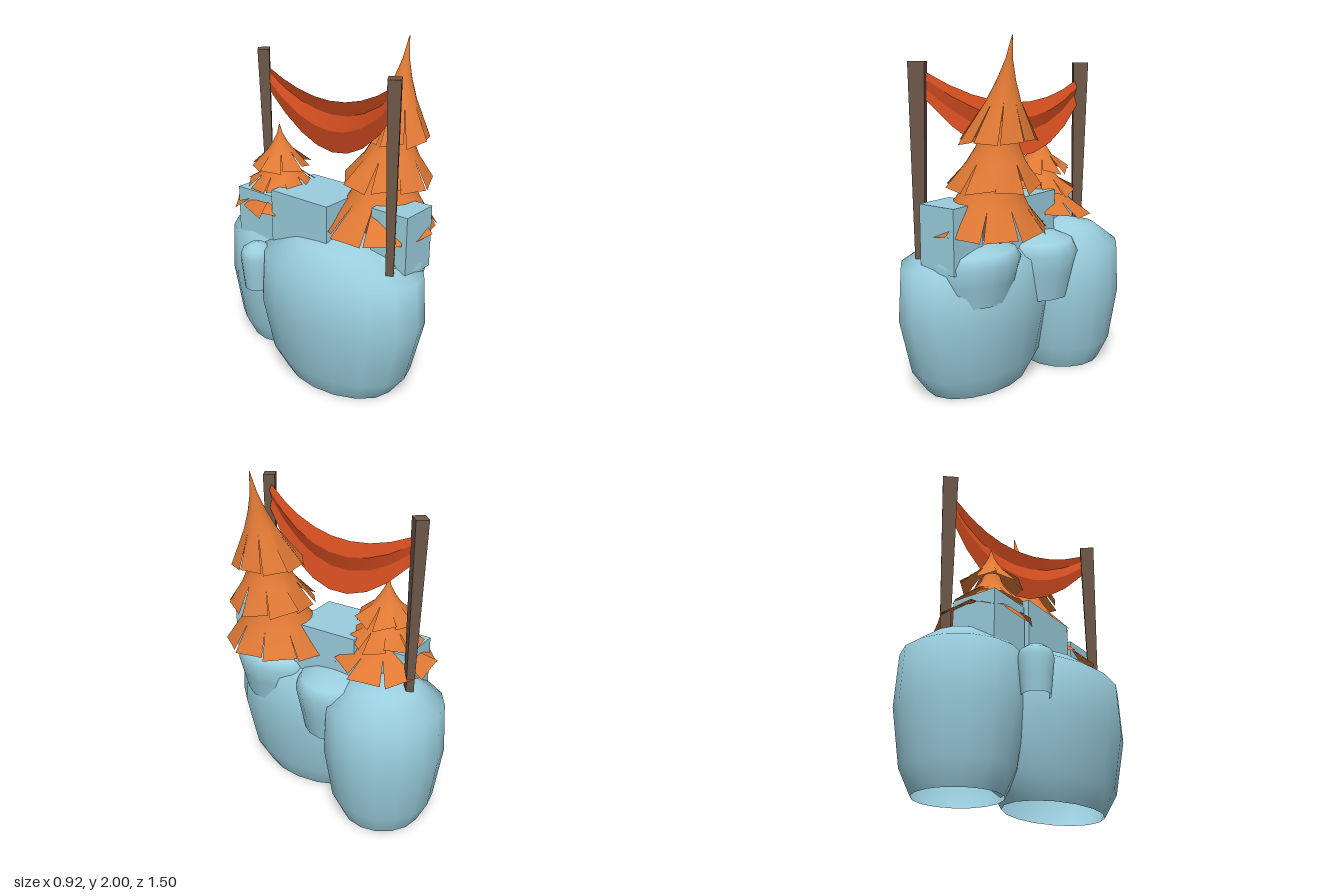
import * as THREE from 'three';
import { mergeVertices } from 'three/addons/utils/BufferGeometryUtils.js';

const mat = (name, color, side = THREE.FrontSide) => {
  const m = new THREE.MeshStandardMaterial({ color, side });
  m.name = name;
  return m;
};

export function createModel() {
  const model = new THREE.Group();
  model.name = 'rockyIslet';
  const stone = mat('paleBlueStone', 0x9acede, THREE.DoubleSide);
  const foliage = mat('orangeFoliage', 0xe07935, THREE.DoubleSide);
  const bark = mat('trunkBrown', 0x85604c);
  const timber = mat('postBrown', 0x6e5849);
  const cloth = mat('redCloth', 0xe05222, THREE.DoubleSide);

  let seed = 7;
  const rand = () => ((seed = (seed * 16807) % 2147483647) / 2147483647) * 2 - 1;

  const add = (name, geo, material, parent = model) => {
    const mesh = new THREE.Mesh(geo, material);
    mesh.name = name;
    parent.add(mesh);
    return mesh;
  };

  // Rocks: unit profiles (radius, height) stretched to size, open underneath
  const tall = [[0.675, 0], [0.86, 0.15], [1, 0.5], [0.96, 0.825], [0.55, 0.945], [0, 1]];
  const squat = [[0.8, 0], [0.91, 0.38], [1, 0.7], [0.88, 0.86], [0.5, 0.96], [0, 1]];
  const rock = (name, profile, x, y, z, rx, h, rz) => {
    const pts = profile.map(([r, t]) => new THREE.Vector2(r, t));
    const mesh = add(name, new THREE.LatheGeometry(pts, 16), stone);
    mesh.position.set(x, y, z);
    mesh.scale.set(rx, h, rz);
  };
  rock('frontRock', tall, -0.1, 0, 0.2, 0.36, 0.92, 0.55);
  rock('backRock', tall, 0.1, 0, -0.4, 0.355, 0.92, 0.355);
  rock('ledgeRock', squat, 0.03, 0.57, 0.38, 0.25, 0.33, 0.29);
  rock('sideRock', squat, 0.1, 0.5, -0.09, 0.27, 0.39, 0.25);
  rock('smallRock', squat, -0.3, 0.5, -0.28, 0.1, 0.29, 0.1);

  // Square stone blocks: min and max corners
  const block = (name, a, b) =>
    add(name, new THREE.BoxGeometry(b[0] - a[0], b[1] - a[1], b[2] - a[2]), stone)
      .position.set((a[0] + b[0]) / 2, (a[1] + b[1]) / 2, (a[2] + b[2]) / 2);
  block('frontBlock', [-0.11, 0.77, 0.42], [0.13, 1.13, 0.655]);
  block('middleBlock', [-0.22, 0.7, -0.225], [0.155, 1.11, 0.195]);
  block('backBlock', [-0.2, 0.7, -0.52], [0.08, 1.06, -0.24]);

  // One foliage skirt, split along its lower edge into straight-edged flaps
  const skirt = (top, bottom, r0, r1, flaps, jitter) => {
    const pos = [], index = [];
    const rows = [0, 0.22, 0.42, 0.62, 1], cols = 2;
    for (let f = 0; f < flaps; f++) {
      const base = pos.length / 3;
      const spread = 1.04 + rand() * jitter, drop = rand() * jitter * 0.15, skew = rand() * 0.08;
      rows.forEach((t, j) => {
        const last = j === rows.length - 1;
        for (let i = 0; i <= cols; i++) {
          const u = i / cols - 0.5;
          const a = ((f + 0.5 + u * (last ? 0.94 : 1) + (last ? skew : 0)) / flaps) * Math.PI * 2;
          const straight = i === 1 ? Math.cos(Math.PI / flaps) : 1;
          const r = (r0 + (r1 - r0) * t ** 1.6) * (last ? spread * straight : 1);
          pos.push(
            top[0] + (bottom[0] - top[0]) * t + r * Math.sin(a),
            top[1] + (bottom[1] - top[1]) * t + (last ? drop + u * skew * 0.5 : 0),
            top[2] + (bottom[2] - top[2]) * t + r * Math.cos(a));
        }
      });
      for (let j = 0; j < rows.length - 1; j++) for (let i = 0; i < cols; i++) {
        const a = base + j * (cols + 1) + i, b = a + cols + 1;
        index.push(a, b, a + 1, a + 1, b, b + 1);
      }
    }
    let g = new THREE.BufferGeometry();
    g.setAttribute('position', new THREE.Float32BufferAttribute(pos, 3));
    g.setIndex(index);
    g = mergeVertices(g, 1e-4);
    g.computeVertexNormals();
    return g;
  };

  const tree = (name, layers, trunk) => {
    const g = new THREE.Group();
    g.name = name;
    layers.forEach((l, i) => add(name + 'Layer' + (i + 1), skirt(...l), foliage, g));
    const [x, y, z, h, r] = trunk;
    add(name + 'Trunk', new THREE.CylinderGeometry(r * 0.5, r, h, 8), bark, g).position.set(x, y + h / 2, z);
    model.add(g);
  };
  tree('tallTree', [
    [[0.15, 1.34, 0.34], [0.09, 0.955, 0.345], 0.12, 0.325, 10, 0.08],
    [[0.2, 1.57, 0.35], [0.145, 1.215, 0.345], 0.08, 0.25, 9, 0.07],
    [[0.285, 2.0, 0.36], [0.18, 1.46, 0.35], 0.002, 0.2, 9, 0.06],
  ], [0.09, 0.78, 0.29, 0.4, 0.07]);
  tree('shortTree', [
    [[-0.02, 1.15, -0.32], [0, 0.95, -0.315], 0.09, 0.285, 9, 0.1],
    [[-0.03, 1.27, -0.32], [-0.02, 1.08, -0.32], 0.05, 0.205, 9, 0.08],
    [[-0.03, 1.45, -0.33], [-0.03, 1.2, -0.32], 0.002, 0.17, 8, 0.06],
  ], [0, 0.8, -0.31, 0.3, 0.055]);

  // Timber posts, turned at an angle and narrowing towards the foot
  const post = (name, top, foot, turn) => {
    const h = top[1] - foot[1];
    const geo = new THREE.BoxGeometry(0.09, h, 0.07).rotateY(turn);
    const p = geo.attributes.position;
    for (let i = 0; i < p.count; i++) {
      const up = p.getY(i) > 0, c = up ? top : foot, k = up ? 1 : 0.6;
      p.setXYZ(i, c[0] + p.getX(i) * k, c[1], c[2] + p.getZ(i) * k);
    }
    geo.computeVertexNormals();
    add(name, geo, timber);
  };
  post('frontPost', [-0.168, 1.87, 0.585], [-0.167, 0.81, 0.595], 0.55);
  post('backPost', [0.1, 1.855, -0.57], [0.105, 0.82, -0.55], 0.72);

  // Sagging cloth hung between the posts, in three folded bands
  const steps = 8, levels = [0, 0.28, 0.57, 1];
  const clothPoint = (row, s) => {
    const v = levels[row], sag = 4 * s * (1 - s);
    const y = 1.82 - 0.07 * s - 0.15 * v - sag * (0.15 + 0.16 * v);
    const fold = (row % 2 ? 0.018 : -0.01) * (0.4 + 0.6 * sag);
    return [-0.14 + 0.24 * s + 0.05 * sag + fold, y, 0.565 - 1.1 * s];
  };
  for (let row = 0; row < 3; row++) {
    const pos = [], index = [];
    for (let i = 0; i <= steps; i++) {
      pos.push(...clothPoint(row, i / steps), ...clothPoint(row + 1, i / steps));
      if (i < steps) {
        const a = i * 2;
        index.push(a, a + 2, a + 1, a + 1, a + 2, a + 3);
      }
    }
    const g = new THREE.BufferGeometry();
    g.setAttribute('position', new THREE.Float32BufferAttribute(pos, 3));
    g.setIndex(index);
    g.computeVertexNormals();
    add('clothBand' + (row + 1), g, cloth);
  }
  return model;
}
